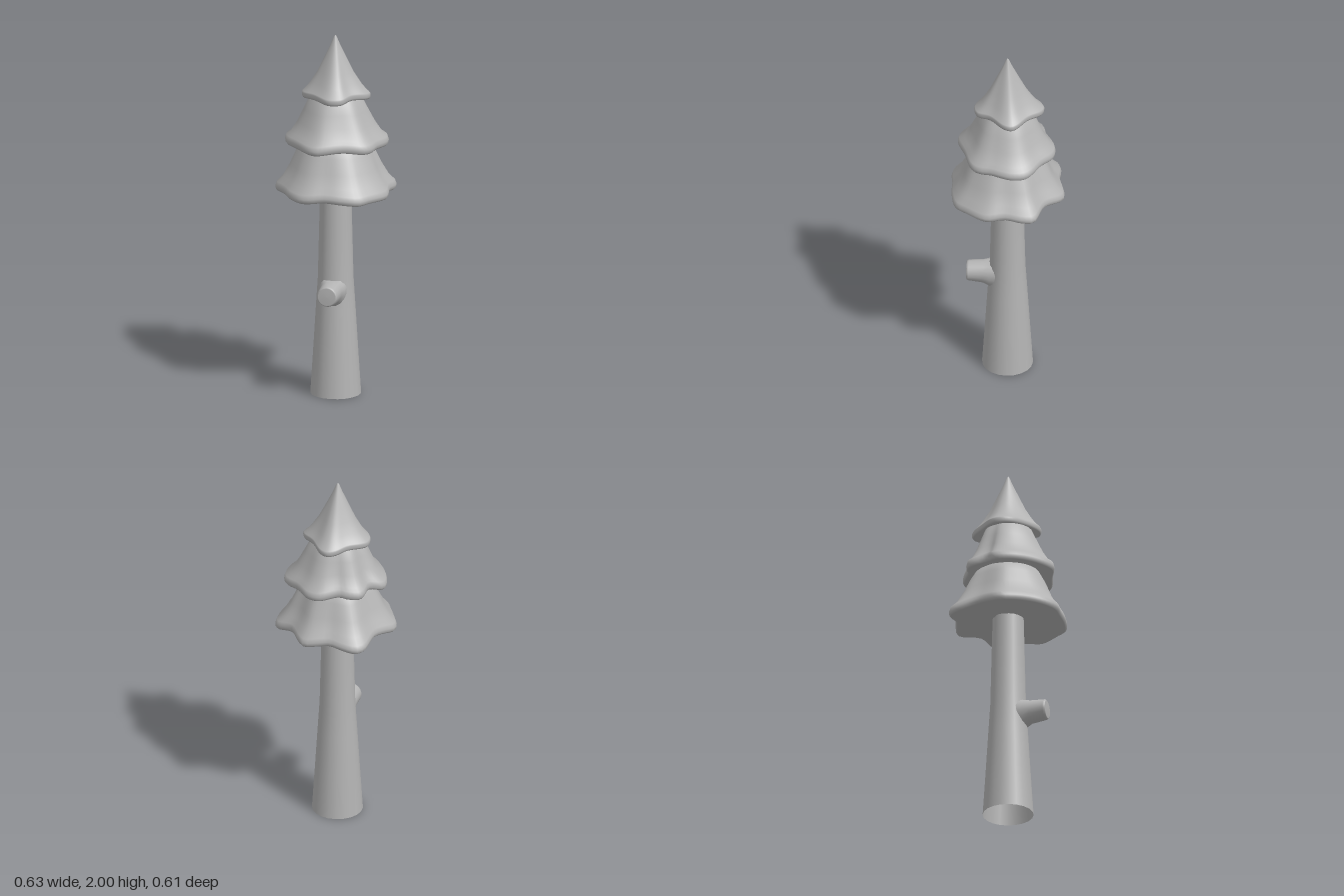
import * as THREE from 'three';

const bark = new THREE.MeshStandardMaterial({ color: 0xb4b4b4, side: THREE.DoubleSide });
bark.name = 'plain grey';

const SEGMENTS = 72;

// Wavy rim outlines as [x, z] points
const lowerRim = [
  [0.31, -0.095], [0.3, 0], [0.31, 0.09], [0.295, 0.135], [0.235, 0.22], [0.19, 0.27], [0.1, 0.295],
  [0, 0.297], [-0.08, 0.305], [-0.13, 0.295], [-0.2, 0.24], [-0.24, 0.18], [-0.295, 0.1], [-0.315, 0.065],
  [-0.315, 0.025], [-0.29, -0.025], [-0.255, -0.1], [-0.245, -0.22], [-0.22, -0.26], [-0.185, -0.275],
  [-0.13, -0.28], [-0.06, -0.277], [0, -0.295], [0.075, -0.31], [0.11, -0.29], [0.185, -0.21], [0.295, -0.16],
];
const middleRim = [
  [0.28, -0.035], [0.27, -0.1], [0.24, -0.14], [0.16, -0.19], [0.08, -0.25], [0.01, -0.257], [-0.09, -0.2],
  [-0.13, -0.195], [-0.19, -0.165], [-0.205, -0.13], [-0.207, -0.06], [-0.26, -0.01], [-0.27, 0.02],
  [-0.245, 0.095], [-0.195, 0.16], [-0.1, 0.25], [-0.05, 0.27], [0, 0.26], [0.09, 0.225], [0.2, 0.185],
  [0.235, 0.14], [0.25, 0.08], [0.27, 0.02],
];
const topRim = [
  [0.187, -0.03], [0.17, -0.06], [0.1, -0.115], [0.03, -0.185], [-0.015, -0.197], [-0.055, -0.175],
  [-0.1, -0.115], [-0.155, -0.06], [-0.18, -0.02], [-0.18, 0.02], [-0.16, 0.06], [-0.1, 0.11],
  [-0.01, 0.175], [0.03, 0.177], [0.07, 0.16], [0.11, 0.09], [0.175, 0.015],
];

// Skirt of foliage: rings are [scale, height, waviness] from the top down to the underside
function foliage(name, rim, rings, droop) {
  const ordered = [...rim].sort((a, b) => Math.atan2(a[1], a[0]) - Math.atan2(b[1], b[0]));
  const curve = new THREE.CatmullRomCurve3(ordered.map(([x, z]) => new THREE.Vector3(x, 0, z)), true);
  const outline = curve.getSpacedPoints(SEGMENTS).slice(0, SEGMENTS);
  const mean = outline.reduce((sum, p) => sum + p.length(), 0) / SEGMENTS;
  const positions = [];
  const indices = [];
  rings.forEach(([scale, y, wave], i) => {
    outline.forEach((p, j) => {
      const r = p.length();
      const k = scale * (wave + (1 - wave) * mean / r);
      positions.push(p.x * k, y - droop * (r - mean) * wave * scale, p.z * k);
      if (i === rings.length - 1) return;
      const a = i * SEGMENTS + j;
      const b = i * SEGMENTS + (j + 1) % SEGMENTS;
      indices.push(a, b, a + SEGMENTS, b, b + SEGMENTS, a + SEGMENTS);
    });
  });
  const geometry = new THREE.BufferGeometry();
  geometry.setAttribute('position', new THREE.Float32BufferAttribute(positions, 3));
  geometry.setIndex(indices);
  geometry.computeVertexNormals();
  const mesh = new THREE.Mesh(geometry, bark);
  mesh.name = name;
  return mesh;
}

// Rounded lip and shallow underside shared by every skirt
const lip = (y) => [
  [0.975, y + 0.045, 1], [1, y + 0.022, 1], [0.995, y + 0.006, 1], [0.965, y - 0.004, 1],
  [0.91, y + 0.002, 0.9], [0.6, y + 0.014, 0.5], [0.001, y + 0.016, 0],
];

export function createModel() {
  const group = new THREE.Group();

  // Tapered trunk, open at the base
  const trunkProfile = [[0.137, 0], [0.121, 0.25], [0.107, 0.48], [0.096, 0.65], [0.09, 0.9], [0.083, 1.18]];
  const trunk = new THREE.Mesh(
    new THREE.LatheGeometry(trunkProfile.map(([r, y]) => new THREE.Vector2(r, y)), 20), bark);
  trunk.name = 'trunk';
  trunk.position.x = 0.002;
  group.add(trunk);

  // Cut branch stub, flared below where it meets the trunk
  const stubProfile = [[0.078, 0.05], [0.07, 0.095], [0.061, 0.13], [0.056, 0.208], [0.052, 0.218], [0.047, 0.22], [0, 0.221]];
  const stubGeometry = new THREE.LatheGeometry(stubProfile.map(([r, y]) => new THREE.Vector2(r, y)), 18);
  stubGeometry.rotateX(Math.PI / 2);
  const pos = stubGeometry.attributes.position;
  for (let i = 0; i < pos.count; i++) {
    const y = pos.getY(i);
    const inward = 0.22 - pos.getZ(i);
    pos.setY(i, y > 0 ? Math.min(y, 0.056) : y * (1 + 2.2 * inward * (inward > 0.1 ? 1 : 0.6)));
  }
  stubGeometry.computeVertexNormals();
  const stub = new THREE.Mesh(stubGeometry, bark);
  stub.name = 'branchStub';
  stub.position.set(0.003, 0.594, 0);
  group.add(stub);

  // Three stacked foliage skirts
  group.add(foliage('lowerFoliage', lowerRim, [
    [0.001, 1.47, 0], [0.4, 1.46, 0.2], [0.57, 1.41, 0.4], [0.66, 1.36, 0.55],
    [0.77, 1.28, 0.75], [0.88, 1.215, 0.9], ...lip(1.138),
  ], 0.45));
  group.add(foliage('middleFoliage', middleRim, [
    [0.001, 1.72, 0], [0.35, 1.71, 0.2], [0.52, 1.66, 0.4], [0.64, 1.59, 0.6],
    [0.76, 1.52, 0.8], [0.89, 1.462, 0.95], ...lip(1.402),
  ], 0.4));
  group.add(foliage('topFoliage', topRim, [
    [0.001, 2, 0], [0.05, 1.99, 0], [0.14, 1.95, 0.3], [0.34, 1.875, 0.5], [0.55, 1.795, 0.7],
    [0.75, 1.735, 0.9], [0.9, 1.7, 1], ...lip(1.658).map(([s, y, w]) => [s, y - (y > 1.68 ? 0.015 : 0), w]),
  ], 0.3));

  return group;
}
